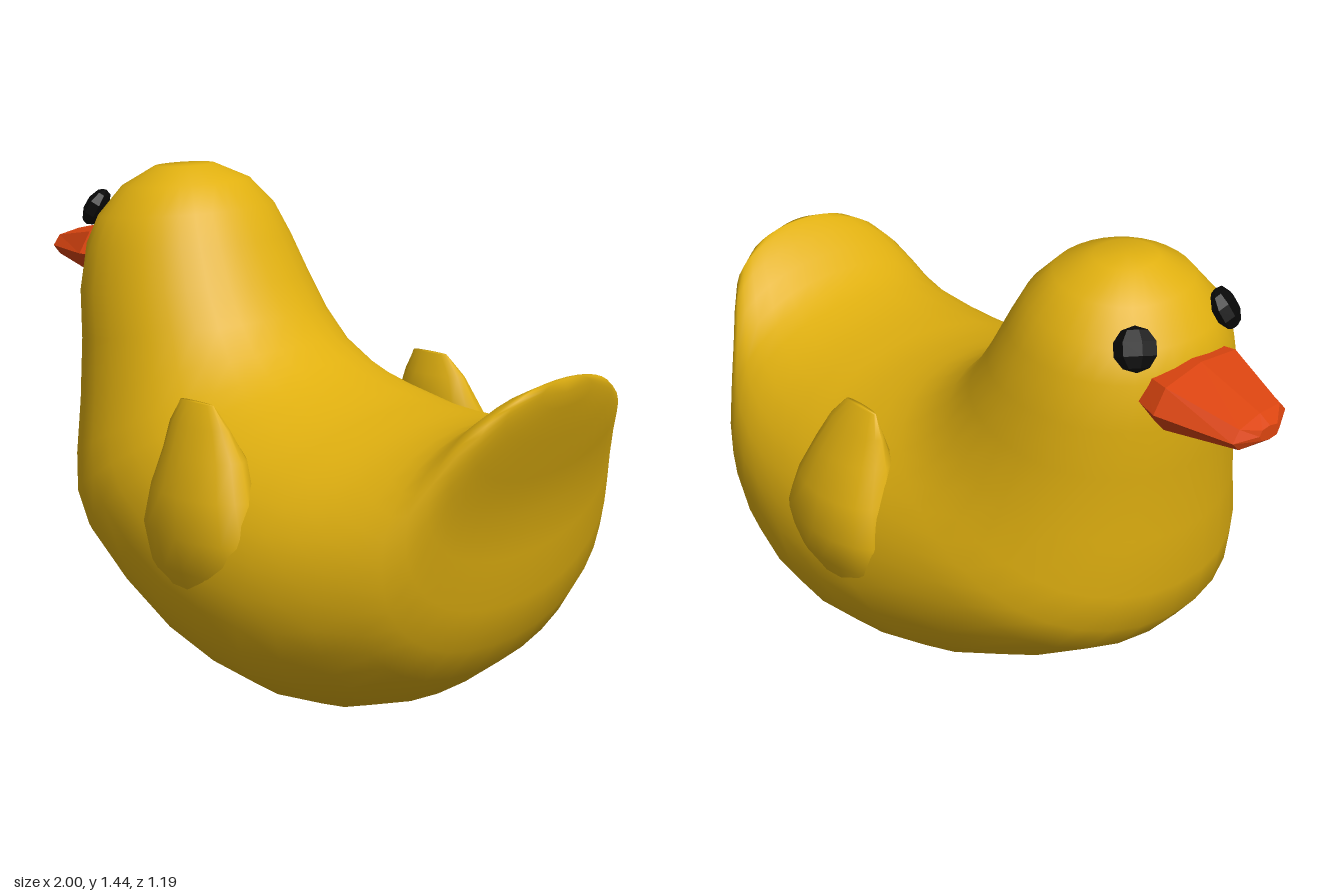
import * as THREE from 'three';

const V = (x, y, z) => new THREE.Vector3(x, y, z);

// Closed loft through rings [centre, u, v]; power < 1 makes rings squarer, ends are capped.
function loft(rings, sides, power = 1) {
  const pos = [], index = [];
  const soft = (t) => Math.sign(t) * Math.abs(t) ** power;
  for (const [c, u, v] of rings) {
    for (let i = 0; i < sides; i++) {
      const a = (i / sides) * Math.PI * 2;
      const p = c.clone().addScaledVector(u, soft(Math.cos(a))).addScaledVector(v, soft(Math.sin(a)));
      pos.push(p.x, p.y, p.z);
    }
  }
  const last = (rings.length - 1) * sides, tip = rings.length * sides;
  pos.push(...rings[0][0].toArray(), ...rings[rings.length - 1][0].toArray());
  for (let i = 0; i < sides; i++) {
    const j = (i + 1) % sides;
    for (let r = 0; r < last; r += sides) {
      index.push(r + i, r + j, r + sides + j, r + i, r + sides + j, r + sides + i);
    }
    index.push(tip, j, i, tip + 1, last + i, last + j);
  }
  const g = new THREE.BufferGeometry();
  g.setAttribute('position', new THREE.Float32BufferAttribute(pos, 3));
  g.setIndex(index);
  g.computeVertexNormals();
  return g;
}

export function createModel() {
  const group = new THREE.Group();
  const yellow = new THREE.MeshStandardMaterial({ color: 0xe0b010 });
  const orange = new THREE.MeshStandardMaterial({ color: 0xdc4510, flatShading: true });
  const black = new THREE.MeshStandardMaterial({ color: 0x080808, flatShading: true });
  const add = (name, geometry, material) => {
    const m = new THREE.Mesh(geometry, material);
    m.name = name;
    group.add(m);
    return m;
  };

  // Body: sections fan from crown to tail tip; chest/belly x, y, then nape/back x, y, half width
  const sections = [
    [-0.53, 1.43, -0.37, 1.44, 0.09],
    [-0.62, 1.37, -0.27, 1.40, 0.19],
    [-0.69, 1.28, -0.20, 1.33, 0.26],
    [-0.72, 1.20, -0.15, 1.24, 0.30],
    [-0.73, 1.07, -0.09, 1.13, 0.335],
    [-0.71, 0.92, -0.03, 1.04, 0.36],
    [-0.70, 0.72, 0.04, 0.97, 0.395],
    [-0.69, 0.54, 0.12, 0.925, 0.44],
    [-0.66, 0.42, 0.18, 0.90, 0.475],
    [-0.58, 0.325, 0.25, 0.88, 0.505],
    [-0.38, 0.20, 0.31, 0.868, 0.535],
    [-0.16, 0.095, 0.37, 0.857, 0.555],
    [0.05, 0.035, 0.43, 0.853, 0.565],
    [0.25, 0.005, 0.50, 0.85, 0.56],
    [0.42, 0.02, 0.57, 0.85, 0.545],
    [0.57, 0.07, 0.64, 0.855, 0.52],
    [0.70, 0.165, 0.71, 0.867, 0.485],
    [0.77, 0.26, 0.77, 0.885, 0.445],
    [0.81, 0.38, 0.82, 0.915, 0.405],
    [0.835, 0.52, 0.87, 0.955, 0.365],
    [0.86, 0.64, 0.925, 0.997, 0.325],
    [0.905, 0.75, 0.97, 1.02, 0.28],
    [0.95, 0.86, 0.99, 1.03, 0.21],
    [0.985, 0.95, 1.0, 1.03, 0.1],
  ];
  add('body', loft(sections.map(([fx, fy, bx, by, w]) => [
    V((fx + bx) / 2, (fy + by) / 2, 0),
    V((fx - bx) / 2, (fy - by) / 2, 0),
    V(0, 0, -w),
  ]), 32, 0.94), yellow);

  // Wings: small flaps rising to a pointed upper edge; y, centre x, half length, outer z, inner z
  const flap = [
    [0.34, 0.16, 0.12, 0.53, 0.40],
    [0.45, 0.16, 0.20, 0.575, 0.40],
    [0.55, 0.16, 0.21, 0.597, 0.40],
    [0.66, 0.155, 0.18, 0.585, 0.40],
    [0.76, 0.15, 0.145, 0.555, 0.40],
    [0.84, 0.14, 0.11, 0.525, 0.445],
    [0.90, 0.13, 0.065, 0.495, 0.475],
  ];
  for (const [name, s, lean] of [['leftWing', 1, 0], ['rightWing', -1, -0.05]]) {
    add(name, loft(flap.map(([y, x, len, outer, inner]) => {
      const shift = lean * Math.max(0, (y - 0.6) / 0.3);
      return [
        V(x, y, s * ((outer + inner) / 2 + shift)),
        V(0, 0, s * (outer - inner) / 2),
        V(s * len, 0, 0),
      ];
    }), 16), yellow);
  }

  // Bill: faceted wedge; x, middle y, half height, half width, z
  const bill = [
    [-0.64, 1.16, 0.07, 0.16, 0],
    [-0.74, 1.16, 0.08, 0.185, -0.005],
    [-0.96, 1.15, 0.038, 0.115, -0.015],
    [-1.0, 1.152, 0.02, 0.035, -0.02],
  ];
  add('bill', loft(bill.map(([x, y, h, w, z], i) => [
    V(x, y, z), V(0, h, 0), V(i < 3 ? -0.02 : 0, 0, -w),
  ]), 8, 0.8), orange);

  // Eyes: flattened faceted beads lying on the head
  for (const [name, x, z] of [['leftEye', -0.655, 0.165], ['rightEye', -0.67, -0.17]]) {
    const eye = add(name, new THREE.SphereGeometry(0.06, 7, 5), black);
    eye.scale.z = 0.55;
    eye.position.set(x, 1.305, z);
    eye.lookAt(x - 0.7, 1.305 + 0.5, z + Math.sign(z) * 0.5);
  }
  return group;
}
